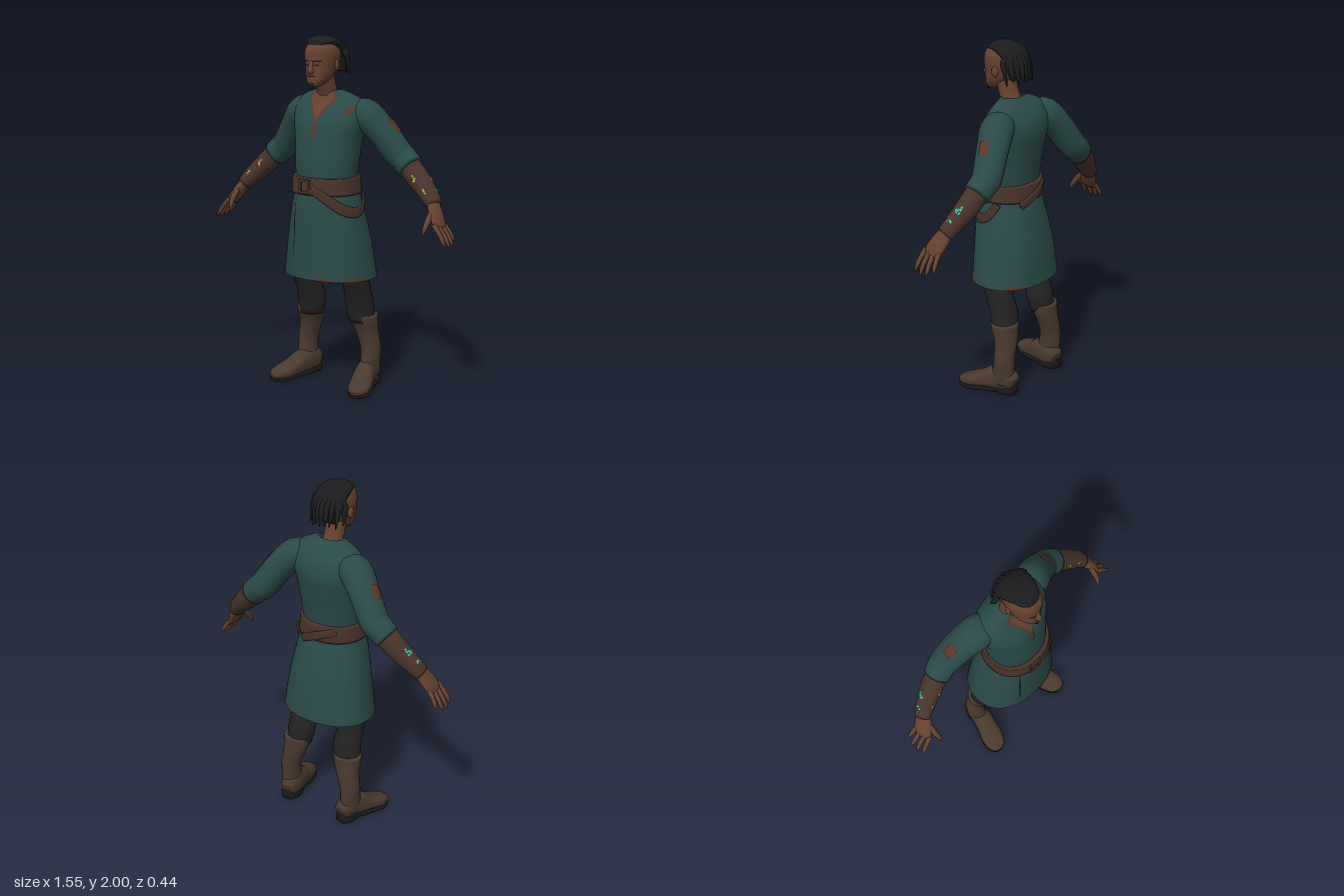
import * as THREE from 'three';
import { mergeVertices } from 'three/addons/utils/BufferGeometryUtils.js';

const paint = (name, color, side = THREE.FrontSide) => {
  const m = new THREE.MeshStandardMaterial({ color, side });
  m.name = name;
  return m;
};
const V = (a) => new THREE.Vector3(...a);
const X = [1, 0, 0], Y = [0, 1, 0], Z = [0, 0, 1];

// Smooth surface from f(u, v) -> Vector3
function grid(f, nu, nv) {
  const pos = [], idx = [];
  for (let i = 0; i <= nu; i++)
    for (let j = 0; j <= nv; j++) pos.push(...f(i / nu, j / nv).toArray());
  for (let i = 0; i < nu; i++)
    for (let j = 0; j < nv; j++) {
      const a = i * (nv + 1) + j, c = a + nv + 1;
      idx.push(a, a + 1, c, a + 1, c + 1, c);
    }
  let g = new THREE.BufferGeometry();
  g.setAttribute('position', new THREE.Float32BufferAttribute(pos, 3));
  g.setIndex(idx);
  g = mergeVertices(g);
  g.computeVertexNormals();
  return g;
}

// Loft through rows [x, y, z, radiusU, radiusV]; upright lofts keep level rings and are indexed by y
function loft(rows, ref, { upright = false, n = 16, steps = 4, p = 2, open = false } = {}) {
  const keys = rows.map((r, i) => (upright ? r[1] : i));
  const spline = new THREE.CubicInterpolant(keys, rows.flat(), 5);
  const t0 = keys[0], t1 = keys[keys.length - 1];
  const row = (t) => Array.from(spline.evaluate(THREE.MathUtils.clamp(t, t0, t1)));
  const pw = (c) => Math.sign(c) * Math.abs(c) ** (2 / p);
  const at = (t, a, off = 0) => {
    const r = row(t), e = (t1 - t0) * 0.01;
    const T = upright ? V(Y) : V(row(t + e)).sub(V(row(t - e))).normalize();
    const u = V(ref).cross(T).normalize(), v = T.clone().cross(u);
    return V(r).addScaledVector(u, pw(Math.cos(a)) * (r[3] + off)).addScaledVector(v, pw(Math.sin(a)) * (r[4] + off));
  };
  const m = (rows.length - 1) * steps, pad = open ? 0 : 1;
  const geo = grid((u, v) => {
    const k = Math.round(u * (m + 2 * pad)) - pad;
    if (k < 0 || k > m) return V(row(k < 0 ? t0 : t1));
    return at(t0 + (t1 - t0) * k / m, (v % 1) * Math.PI * 2);
  }, m + 2 * pad, n);
  return { geo, at, row, p };
}

// Painted sheet lying on the front (s = 1) or back (s = -1) of an upright loft; rows [y, x0, x1]
function plate(body, rows, off = 0.005, s = 1) {
  return grid((u, v) => {
    const q = u * (rows.length - 1), i = Math.min(Math.floor(q), rows.length - 2);
    const [y, a, b] = rows[i].map((c, k) => THREE.MathUtils.lerp(c, rows[i + 1][k], q - i));
    const x = THREE.MathUtils.lerp(a, b, v), r = body.row(y);
    const h = Math.max(0, 1 - Math.abs((x - r[0]) / r[3]) ** body.p) ** (1 / body.p);
    return new THREE.Vector3(x, y, r[2] + s * (r[4] * h + off));
  }, (rows.length - 1) * 4, 8);
}
// Small painted patch on any loft
const patch = (l, t, a, dt, da, off = 0.004) =>
  grid((u, v) => l.at(t + (u - 0.5) * dt, a + (v - 0.5) * da, off), 3, 3);

export function createModel() {
  const D = THREE.DoubleSide;
  const cloth = paint('tunicCloth', 0x2a4a49, D), skin = paint('skin', 0x66422f, D);
  const leather = paint('leather', 0x49332a), bootLeather = paint('bootLeather', 0x4b392e);
  const trouser = paint('trouserCloth', 0x232323, D), black = paint('hairBlack', 0x1c1c1e, D);
  const soleMat = paint('sole', 0x18181a), rust = paint('rustTrim', 0x5e3526, D);
  const yellow = paint('yellowMark', 0xa8a832, D), teal = paint('tealMark', 0x3cc4ae, D);
  const model = new THREE.Group();
  const add = (name, geo, mat) => {
    const m = new THREE.Mesh(geo, mat);
    m.name = name;
    model.add(m);
    return m;
  };
  const both = (name, geo, mat) => {
    add(name + 'Left', geo, mat);
    const g = geo.clone().scale(-1, 1, 1), ix = g.index.array;
    for (let i = 0; i < ix.length; i += 3) [ix[i], ix[i + 1]] = [ix[i + 1], ix[i]];
    add(name + 'Right', g, mat);
  };
  let seed = 7;
  const rnd = () => (seed = (seed * 16807) % 2147483647) / 2147483647 - 0.5;

  // Tunic body with flared skirt, open at the hem
  const tunic = loft([
    [0, 0.65, -0.005, 0.275, 0.21], [0, 0.85, 0.005, 0.245, 0.198], [0, 1.05, 0.025, 0.205, 0.174],
    [0, 1.18, 0.035, 0.175, 0.15], [0, 1.28, 0.03, 0.182, 0.152], [0, 1.42, 0.012, 0.195, 0.155],
    [0, 1.52, -0.002, 0.215, 0.152], [0, 1.6, -0.012, 0.217, 0.122], [0, 1.65, -0.01, 0.19, 0.085],
    [0, 1.68, 0, 0.135, 0.062], [0, 1.7, 0.01, 0.075, 0.05],
  ], Z, { upright: true, n: 40, steps: 6, p: 2.2, open: true });
  add('tunic', tunic.geo, cloth);
  add('neckTrim', plate(tunic, [[1.69, -0.07, 0.07], [1.66, -0.09, 0.09], [1.6, -0.048, 0.048],
    [1.55, -0.012, 0.012], [1.45, -0.008, 0.008]], 0.004), rust);
  add('openNeck', plate(tunic, [[1.69, -0.06, 0.06], [1.66, -0.075, 0.075], [1.6, -0.034, 0.034], [1.54, 0, 0]], 0.008), skin);
  add('skirtSlit', plate(tunic, [[1.1, -0.112, -0.11], [0.95, -0.122, -0.113], [0.77, -0.122, -0.119]], 0.004), black);
  add('hemStainFront', plate(tunic, [[0.652, 0.02, 0.15], [0.668, 0.05, 0.13]], 0.004), rust);
  add('hemStainSide', plate(tunic, [[0.652, 0.2, 0.268], [0.672, 0.22, 0.262]], 0.004), rust);
  add('hemStainBack', plate(tunic, [[0.652, 0.12, 0.24], [0.67, 0.15, 0.22]], 0.004, -1), rust);
  add('chestStain', plate(tunic, [[1.61, 0.16, 0.2], [1.575, 0.165, 0.19]], 0.006), rust);

  // Belt, buckle and hanging strap
  add('belt', loft([[0, 1.13, 0.036, 0.197, 0.178], [0, 1.175, 0.036, 0.193, 0.176], [0, 1.225, 0.036, 0.188, 0.17]],
    Z, { upright: true, n: 40, p: 2.2 }).geo, leather);
  const frame = new THREE.Shape([[-0.035, -0.04], [0.035, -0.04], [0.035, 0.04], [-0.035, 0.04]].map((c) => new THREE.Vector2(...c)));
  frame.holes.push(new THREE.Path([[-0.022, -0.027], [-0.022, 0.027], [0.022, 0.027], [0.022, -0.027]].map((c) => new THREE.Vector2(...c))));
  add('buckle', new THREE.ExtrudeGeometry(frame, { depth: 0.012, bevelEnabled: false }), leather).position.set(-0.03, 1.178, 0.208);
  add('hangingStrap', loft([[0.01, 1.17, 0.212, 0.007, 0.025], [0.1, 1.115, 0.192, 0.007, 0.027], [0.17, 1.06, 0.145, 0.007, 0.03],
    [0.215, 1.035, 0.075, 0.007, 0.03], [0.222, 1.06, 0.01, 0.007, 0.024], [0.2, 1.13, -0.04, 0.007, 0.022]], Y, { p: 3 }).geo, leather);
  add('backStrap', loft([[-0.12, 1.2, -0.105, 0.007, 0.022], [-0.02, 1.17, -0.15, 0.008, 0.024], [0.1, 1.11, -0.125, 0.007, 0.022]],
    Y, { p: 3 }).geo, leather);

  // Neck and head
  add('neck', loft([[0, 1.58, -0.01, 0.075, 0.06], [0, 1.66, 0.015, 0.06, 0.058], [0, 1.72, 0.04, 0.056, 0.058], [0, 1.8, 0.065, 0.056, 0.06]],
    Z, { upright: true }).geo, skin);
  const head = loft([
    [0, 1.725, 0.145, 0.028, 0.035], [0, 1.745, 0.13, 0.048, 0.058], [0, 1.78, 0.105, 0.068, 0.083], [0, 1.83, 0.08, 0.081, 0.107],
    [0, 1.88, 0.074, 0.088, 0.116], [0, 1.93, 0.073, 0.083, 0.11], [0, 1.965, 0.07, 0.06, 0.08], [0, 1.982, 0.07, 0.025, 0.035],
  ], Z, { upright: true, n: 28, p: 2.15 });
  add('head', head.geo, skin);
  add('nose', loft([[0, 1.865, 0.183, 0.01, 0.008], [0, 1.83, 0.193, 0.014, 0.014], [0, 1.81, 0.195, 0.02, 0.018], [0, 1.8, 0.186, 0.013, 0.008]],
    Z, { n: 10 }).geo, skin);
  const ear = new THREE.SphereGeometry(1, 10, 8).scale(0.012, 0.032, 0.02).rotateY(0.3).translate(0.088, 1.84, 0.065);
  both('ear', ear, skin);
  both('eye', plate(head, [[1.848, 0.022, 0.044], [1.838, 0.02, 0.046]], 0.003), black);
  both('brow', plate(head, [[1.868, 0.018, 0.055], [1.861, 0.016, 0.058]], 0.004), black);
  add('moustache', plate(head, [[1.788, -0.018, 0.018], [1.779, -0.032, 0.032]], 0.004), black);
  add('goatee', loft([[0, 1.755, 0.172, 0.014, 0.014], [0, 1.73, 0.182, 0.012, 0.012], [0, 1.708, 0.188, 0.002, 0.002]], Z, { n: 8 }).geo, black);

  // Swept-back hair with loose locks
  add('hair', loft([[0, 1.935, 0.165, 0.012, 0.028], [0, 1.962, 0.13, 0.024, 0.065], [0, 1.965, 0.07, 0.035, 0.088],
    [0, 1.93, 0, 0.042, 0.1], [0, 1.87, -0.026, 0.034, 0.098], [0, 1.8, -0.035, 0.018, 0.07]], X, { n: 20 }).geo, black);
  for (let k = -4; k <= 4; k++) {
    const x = k * 0.025, z = 0.06 * (x / 0.1) ** 2;
    add('hairLock', loft([[x * 0.8, 1.945 - z * 0.3, -0.015, 0.018, 0.018], [x, 1.9, -0.062 + z, 0.017, 0.018],
      [x * 1.06, 1.85, -0.078 + z, 0.012, 0.014], [x * 1.05 + rnd() * 0.01, 1.79 + rnd() * 0.03, -0.094 + z, 0.002, 0.003]], X, { n: 7 }).geo, black);
  }

  // Sleeves and bracers
  const sleeve = loft([[0.13, 1.59, -0.02, 0.06, 0.075], [0.205, 1.565, -0.045, 0.088, 0.095], [0.285, 1.48, -0.08, 0.082, 0.09],
    [0.37, 1.36, -0.113, 0.081, 0.083], [0.41, 1.325, -0.117, 0.076, 0.079], [0.458, 1.282, -0.11, 0.075, 0.074]], Z, { n: 20 });
  both('sleeve', sleeve.geo, cloth);
  both('sleeveStain', patch(sleeve, 2.15, 0, 0.5, 0.6, 0.005), rust);
  const bracer = loft([[0.43, 1.308, -0.112, 0.064, 0.066], [0.515, 1.225, -0.098, 0.063, 0.062],
    [0.6, 1.145, -0.07, 0.052, 0.052], [0.64, 1.1, -0.05, 0.042, 0.048]], Z, { n: 20 });
  both('bracer', bracer.geo, leather);
  for (const [t, a, mat, count] of [[1, 1.35, yellow, 6], [1.85, 1.4, yellow, 4], [1.35, -0.25, teal, 6], [2, -0.2, teal, 6]])
    for (let i = 0; i < count; i++)
      both('bracerMark', patch(bracer, t + rnd() * 0.3, a + rnd() * 0.55, 0.1, 0.16), mat);

  // Hands
  both('palm', loft([[0.622, 1.125, -0.058, 0.032, 0.04], [0.658, 1.065, -0.032, 0.03, 0.054], [0.685, 1.02, -0.012, 0.025, 0.058],
    [0.702, 0.99, -0.003, 0.016, 0.05]], Z, { n: 14 }).geo, skin);
  for (let k = 0; k < 4; k++) {
    const z = -0.05 + 0.031 * k, len = [0.8, 0.97, 1, 0.9][k];
    both('finger', loft([[0.688, 1.015, z, 0.014, 0.015], [0.688 + 0.042 * len, 1.015 - 0.05 * len, z * 1.15, 0.013, 0.013],
      [0.688 + 0.068 * len, 1.015 - 0.09 * len, z * 1.25, 0.011, 0.011], [0.688 + 0.083 * len, 1.015 - 0.12 * len, z * 1.3, 0.004, 0.004]], Z, { n: 8 }).geo, skin);
  }
  both('thumb', loft([[0.65, 1.075, 0, 0.016, 0.016], [0.652, 1.03, 0.045, 0.017, 0.016], [0.648, 0.99, 0.074, 0.013, 0.012],
    [0.645, 0.96, 0.088, 0.004, 0.004]], X, { n: 8 }).geo, skin);

  // Trousers, boots and soles
  both('trouserLeg', loft([[0.175, 0.38, -0.068, 0.075, 0.07], [0.163, 0.47, -0.058, 0.084, 0.077], [0.166, 0.56, -0.03, 0.076, 0.083],
    [0.168, 0.65, 0, 0.072, 0.094], [0.15, 0.76, 0, 0.085, 0.1], [0.11, 0.98, 0.01, 0.09, 0.1]], Z, { upright: true, n: 18 }).geo, trouser);
  both('bootShaft', loft([[0.212, 0.06, -0.09, 0.055, 0.07], [0.216, 0.13, -0.092, 0.054, 0.069], [0.215, 0.22, -0.098, 0.059, 0.062],
    [0.192, 0.32, -0.092, 0.069, 0.066], [0.181, 0.39, -0.076, 0.083, 0.076], [0.18, 0.425, -0.074, 0.084, 0.078]], Z, { upright: true, n: 18 }).geo, bootLeather);
  both('bootFoot', loft([[0.198, 0.06, -0.16, 0.045, 0.038], [0.203, 0.078, -0.12, 0.068, 0.057], [0.218, 0.08, -0.04, 0.07, 0.058],
    [0.238, 0.06, 0.03, 0.05, 0.063], [0.262, 0.044, 0.1, 0.036, 0.066], [0.277, 0.035, 0.15, 0.026, 0.05], [0.283, 0.028, 0.174, 0.013, 0.022]],
    X, { n: 18, p: 2.5 }).geo, bootLeather);
  both('sole', loft([[0.197, 0.022, -0.166, 0.022, 0.036], [0.203, 0.022, -0.13, 0.022, 0.056], [0.212, 0.02, -0.075, 0.02, 0.055], [0.222, 0.012, -0.045, 0.008, 0.05],
    [0.24, 0.009, 0.03, 0.009, 0.06], [0.262, 0.009, 0.1, 0.009, 0.066], [0.277, 0.009, 0.15, 0.009, 0.05], [0.283, 0.009, 0.174, 0.008, 0.022]],
    X, { n: 16, p: 4 }).geo, soleMat);
  return model;
}
